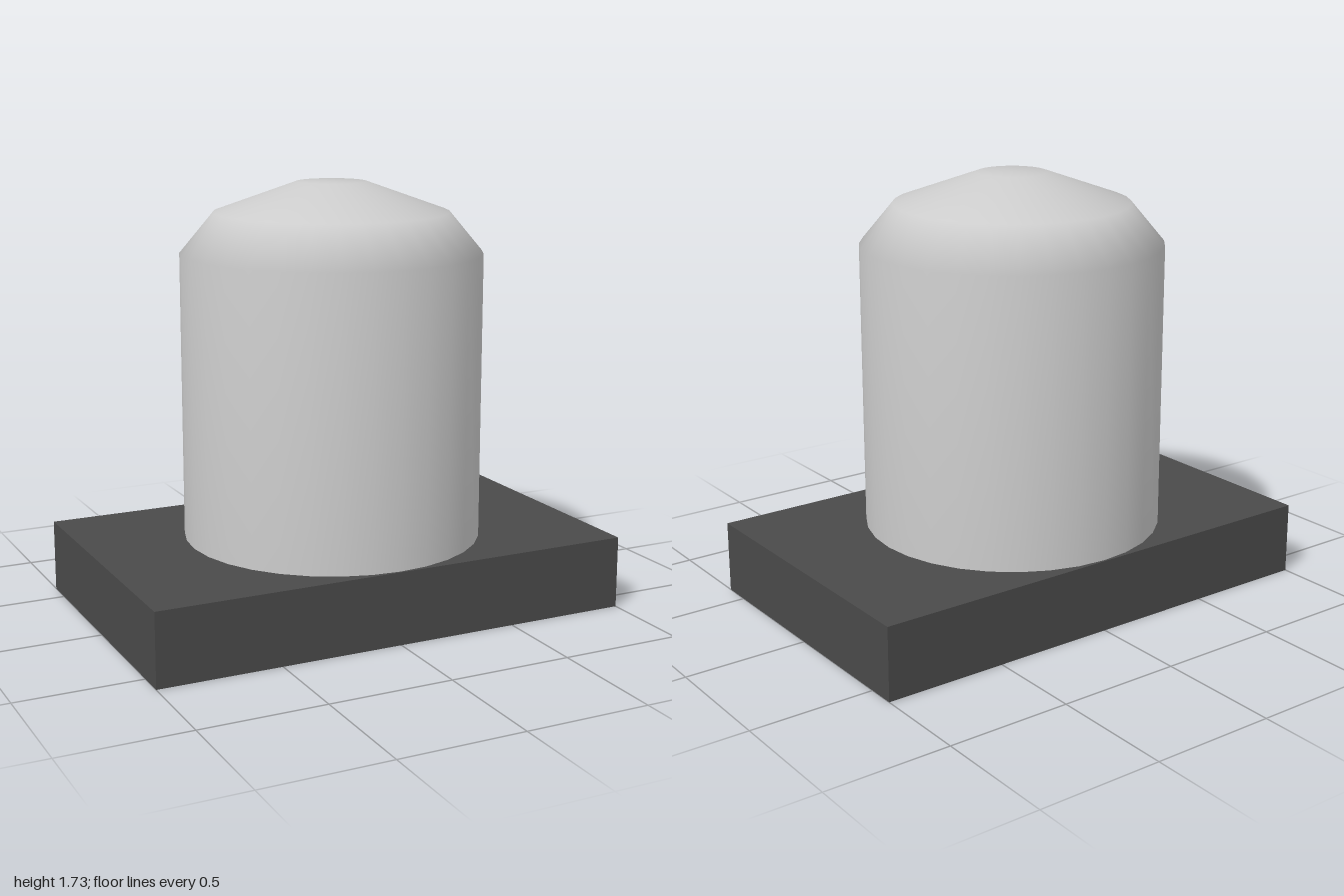
import * as THREE from 'three';

export function createModel() {
  const model = new THREE.Group();
  const baseHeight = 0.295;

  // Dark rectangular base plate
  const base = new THREE.Mesh(
    new THREE.BoxGeometry(2, baseHeight, 1.226),
    new THREE.MeshStandardMaterial({ color: 0x4a4a4a })
  );
  base.name = 'base';
  base.position.y = baseHeight / 2;
  model.add(base);

  // Round body with a stepped dome, closed underneath by the base
  const profile = [
    [0.605, baseHeight],
    [0.605, 1.45],
    [0.47, 1.612],
    [0.14, 1.73],
    [0, 1.73],
  ].map(([r, y]) => new THREE.Vector2(r, y));
  const body = new THREE.Mesh(
    new THREE.LatheGeometry(profile, 32),
    new THREE.MeshStandardMaterial({ color: 0xcccccc })
  );
  body.name = 'domedBody';
  model.add(body);

  return model;
}
